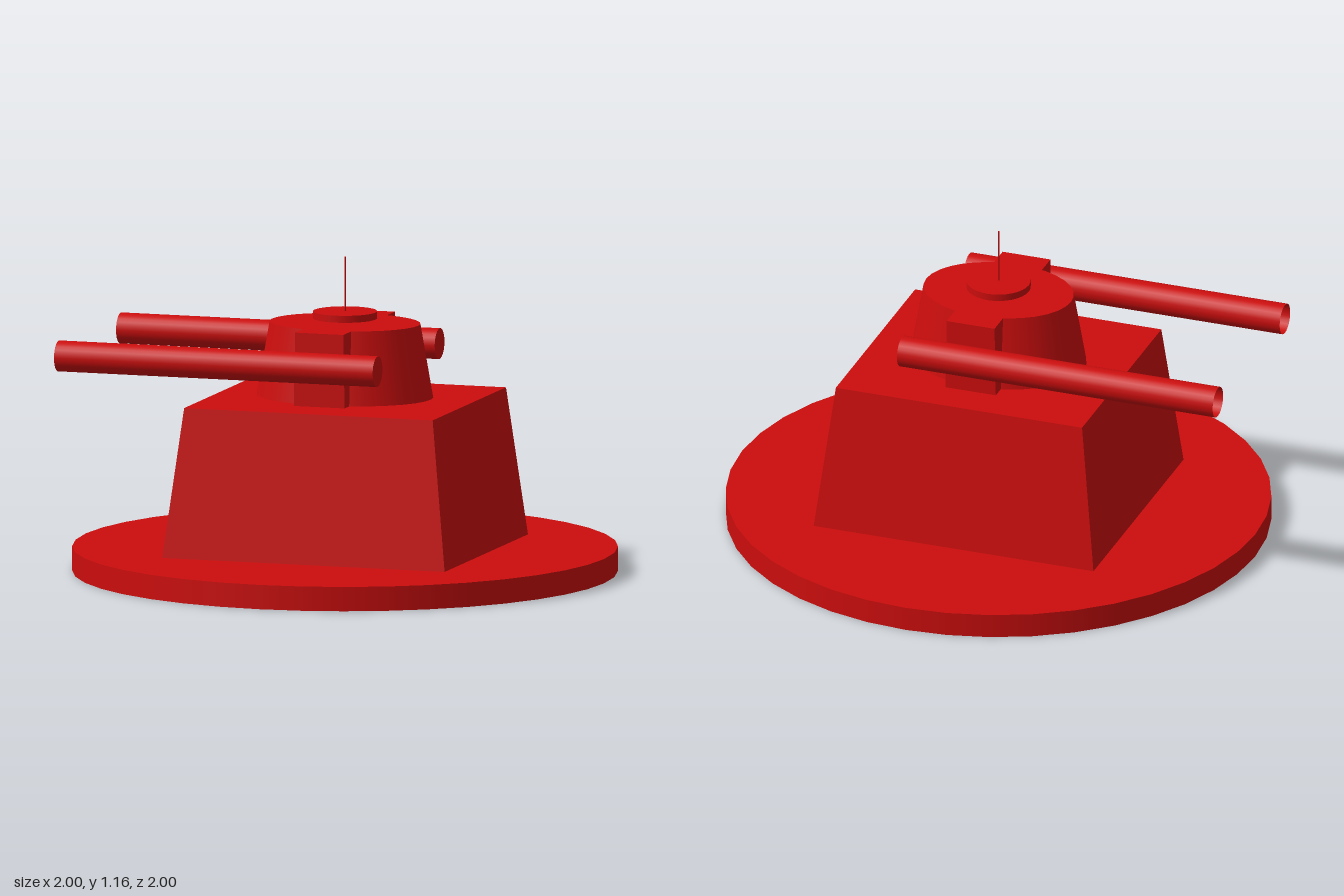
import * as THREE from 'three';

export function createModel() {
  const model = new THREE.Group();
  model.name = 'gunTurret';
  const red = new THREE.MeshStandardMaterial({ color: 0xcc0d0d });
  const redOpen = new THREE.MeshStandardMaterial({ color: 0xcc0d0d, side: THREE.DoubleSide });

  const add = (name, geometry, x, y, z, material = red) => {
    const mesh = new THREE.Mesh(geometry, material);
    mesh.name = name;
    mesh.position.set(x, y, z);
    model.add(mesh);
    return mesh;
  };

  // Box whose top face is scaled in x and z
  const taperedBox = (w, h, d, sx, sz) => {
    const g = new THREE.BoxGeometry(w, h, d);
    const p = g.attributes.position;
    for (let i = 0; i < p.count; i++) {
      if (p.getY(i) > 0) p.setXYZ(i, p.getX(i) * sx, p.getY(i), p.getZ(i) * sz);
    }
    g.computeVertexNormals();
    return g;
  };

  // Round base and sloped pedestal
  add('baseDisc', new THREE.CylinderGeometry(1, 1, 0.09, 40), 0, 0.045, 0);
  add('pedestal', taperedBox(1.09, 0.55, 0.97, 0.88, 0.88), 0, 0.365, 0);

  // Oval turret, raised a hair above the pedestal
  const oval = new THREE.CylinderGeometry(0.282, 0.33, 0.272, 32);
  oval.scale(1, 1, 0.79);
  add('turret', oval, 0, 0.784, 0);

  // Cross block that carries the guns
  add('gunMount', taperedBox(0.196, 0.272, 0.602, 0.95, 1), 0, 0.784, 0);

  // Hatch and antenna
  add('hatch', new THREE.CylinderGeometry(0.118, 0.118, 0.026, 32), 0, 0.948, 0);
  add('antenna', new THREE.CylinderGeometry(0.003, 0.003, 0.204, 8), 0, 1.06, 0);

  // Barrels: open at the muzzle (-x), capped at the breech (+x)
  const barrel = new THREE.CylinderGeometry(0.057, 0.057, 1.23, 24, 1, true).rotateZ(Math.PI / 2);
  const cap = new THREE.CircleGeometry(0.057, 24).rotateY(Math.PI / 2);
  for (const side of [1, -1]) {
    const prefix = side > 0 ? 'front' : 'back';
    add(prefix + 'Barrel', barrel, -0.37, 0.8, side * 0.361, redOpen);
    add(prefix + 'BreechCap', cap, 0.245, 0.8, side * 0.361);
  }

  return model;
}
